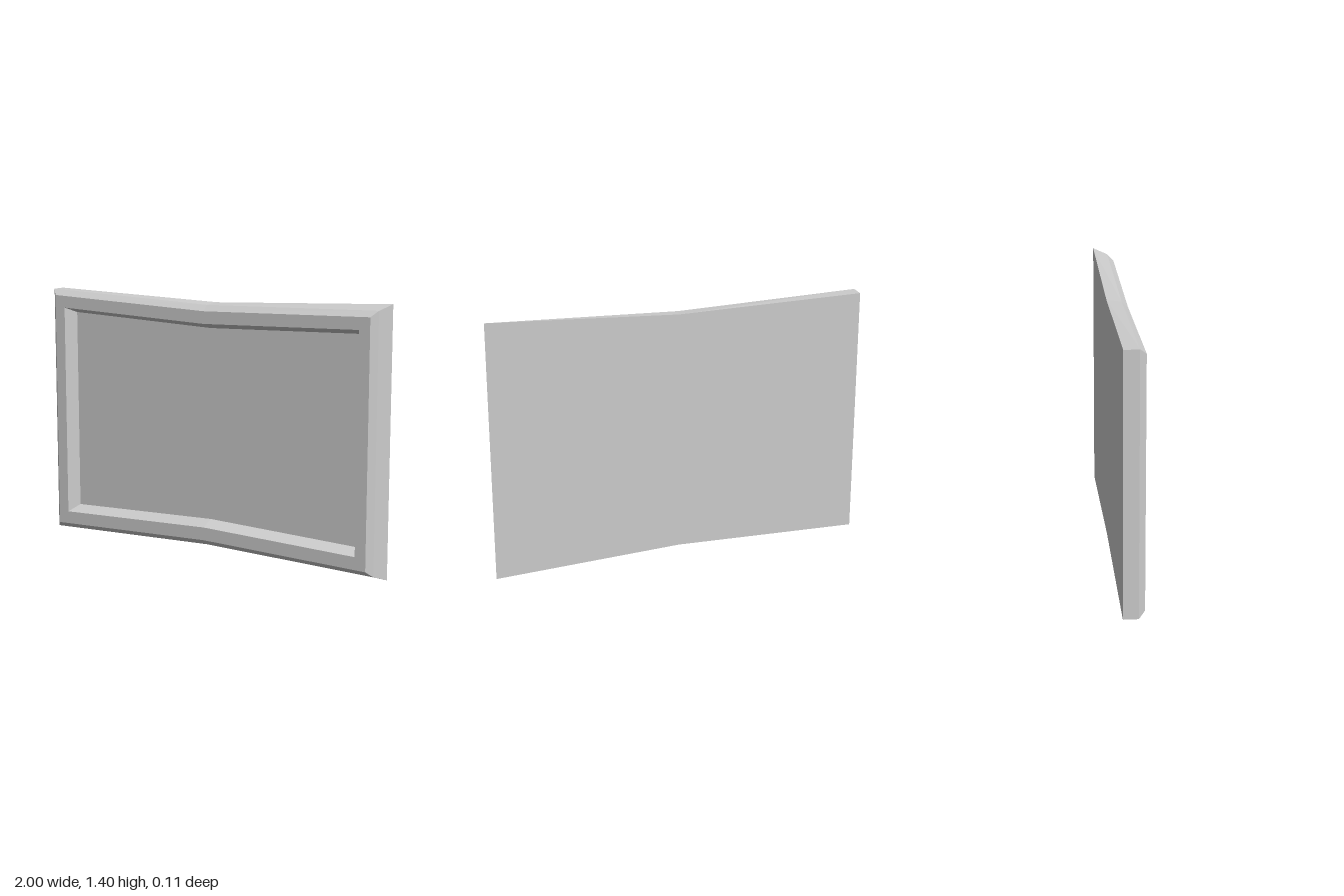
import * as THREE from 'three';

// Six-corner outline, pinched at the middle, anticlockwise seen from the front
function outline(z, xl, xm, xr, left, mid, right) {
  return [
    [xl, left[0], z], [xm, mid[0], z], [xr, right[0], z],
    [xr, right[1], z], [xm, mid[1], z], [xl, left[1], z],
  ];
}

// Flat-shaded mesh from a list of four-cornered faces
function quadMesh(name, quads) {
  const points = quads.flatMap(([a, b, c, d]) => [a, b, c, a, c, d]).flat();
  const geometry = new THREE.BufferGeometry();
  geometry.setAttribute('position', new THREE.Float32BufferAttribute(points, 3));
  geometry.computeVertexNormals();
  const mesh = new THREE.Mesh(geometry, new THREE.MeshStandardMaterial({ color: 0xcccccc, flatShading: true }));
  mesh.name = name;
  return mesh;
}

// Band of faces joining two outlines
const band = (a, b) => a.map((p, i) => {
  const j = (i + 1) % a.length;
  return [p, a[j], b[j], b[i]];
});

// Faces closing an outline, split at the pinched middle
const cap = (r) => [[r[0], r[1], r[4], r[5]], [r[1], r[2], r[3], r[4]]];

export function createModel() {
  const group = new THREE.Group();
  group.name = 'framedPanel';

  const back = outline(-0.055, -1, 0, 1, [0.03, 1.375], [0.052, 1.353], [0, 1.403]);
  const step = outline(0.022, -1, -0.02, 0.96, [0.03, 1.376], [0.06, 1.346], [0.03, 1.376]);
  const rim = outline(0.055, -0.97, -0.02, 0.93, [0.06, 1.346], [0.09, 1.316], [0.06, 1.346]);
  const opening = outline(0.055, -0.91, -0.02, 0.87, [0.13, 1.28], [0.16, 1.25], [0.13, 1.28]);
  const floor = outline(-0.02, -0.88, -0.02, 0.84, [0.16, 1.25], [0.19, 1.22], [0.16, 1.25]);

  group.add(
    quadMesh('outerSides', band(back, step)),
    quadMesh('bevel', band(step, rim)),
    quadMesh('frameFace', band(rim, opening)),
    quadMesh('recessWalls', band(opening, floor)),
    quadMesh('recessedPanel', cap(floor)),
    quadMesh('backPanel', cap(back).map((q) => q.reverse())),
  );
  return group;
}
